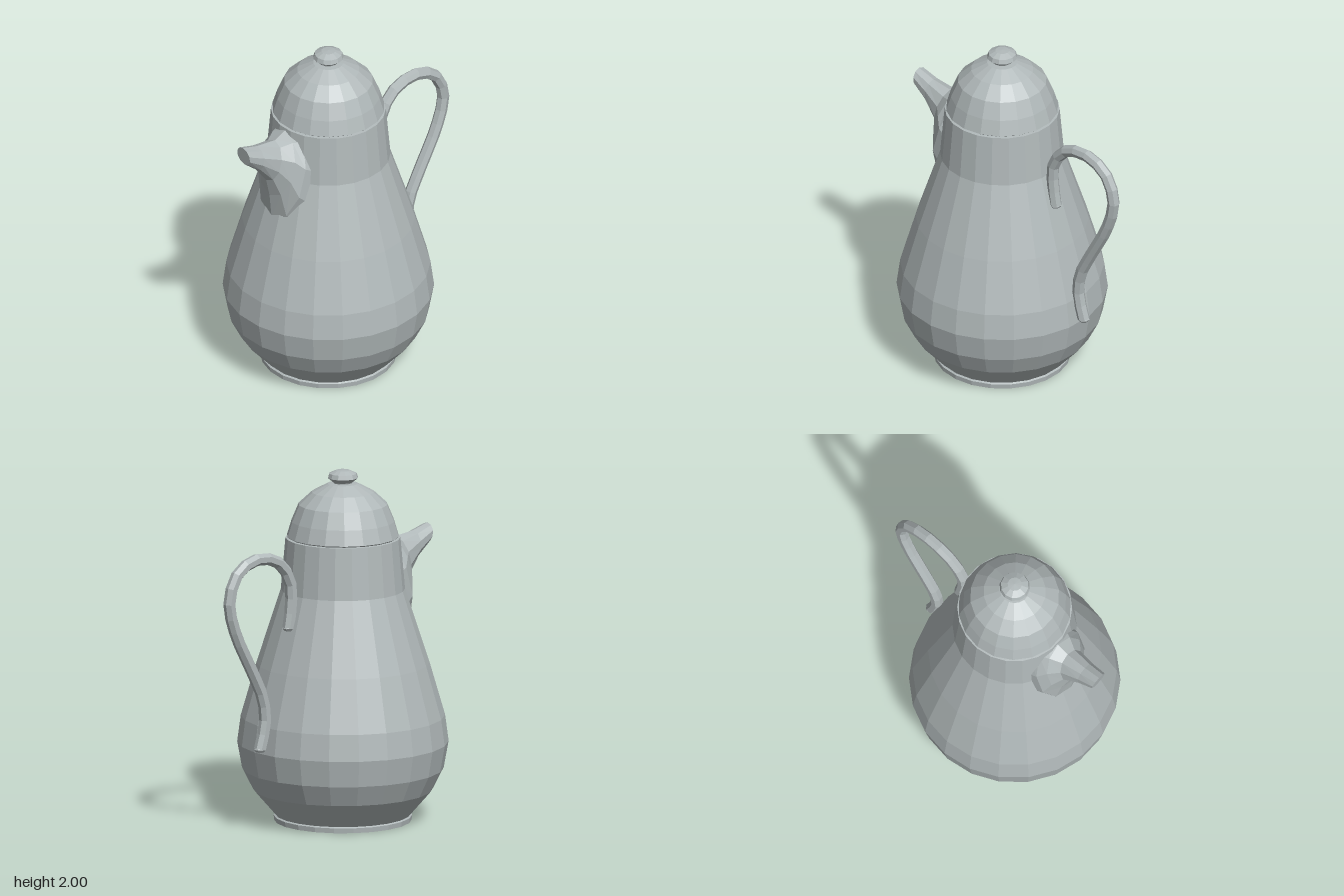
import * as THREE from 'three';

const AXIS_X = -0.125; // body axis, offset to balance spout and handle

// Skin of elliptical loops; each section is [topX, topY, bottomX, bottomY, halfWidth]
function loft(sections, sides) {
  const pos = [], idx = [];
  for (const [tx, ty, bx, by, w] of sections) {
    for (let j = 0; j < sides; j++) {
      const a = (j / sides) * Math.PI * 2, c = Math.cos(a);
      pos.push((tx + bx) / 2 + (tx - bx) / 2 * c, (ty + by) / 2 + (ty - by) / 2 * c, w * Math.sin(a));
    }
  }
  for (let i = 0; i < sections.length - 1; i++) {
    for (let j = 0; j < sides; j++) {
      const k = (j + 1) % sides, a = i * sides, b = a + sides;
      idx.push(a + j, b + j, a + k, a + k, b + j, b + k);
    }
  }
  // closed tip
  const last = (sections.length - 1) * sides;
  for (let j = 1; j < sides - 1; j++) idx.push(last, last + j + 1, last + j);
  const geo = new THREE.BufferGeometry();
  geo.setAttribute('position', new THREE.Float32BufferAttribute(pos, 3));
  geo.setIndex(idx);
  geo.computeVertexNormals();
  return geo;
}

export function createModel() {
  const group = new THREE.Group();
  const metal = new THREE.MeshStandardMaterial({ color: 0xb0b8b9, flatShading: true });
  metal.name = 'pale grey metal';

  const add = (name, geo, x = 0, y = 0, z = 0) => {
    const mesh = new THREE.Mesh(geo, metal);
    mesh.name = name;
    mesh.position.set(x, y, z);
    group.add(mesh);
    return mesh;
  };
  const turned = (name, profile, sides) =>
    add(name, new THREE.LatheGeometry(profile.map(([r, y]) => new THREE.Vector2(r, y)), sides), AXIS_X);

  // Pear-shaped vessel with foot ring
  turned('body', [
    [0, 0], [0.385, 0], [0.388, 0.028], [0.378, 0.034], [0.505, 0.18], [0.565, 0.3], [0.592, 0.45],
    [0.572, 0.6], [0.485, 0.9], [0.348, 1.32], [0.322, 1.615], [0.3, 1.618],
  ], 22);

  // Domed lid and its knob
  turned('lid', [
    [0.3, 1.612], [0.316, 1.624], [0.29, 1.71], [0.25, 1.805], [0.175, 1.875], [0.085, 1.922], [0, 1.93],
  ], 18);
  turned('knob', [
    [0.05, 1.915], [0.055, 1.93], [0.086, 1.955], [0.078, 1.98], [0.04, 1.997], [0, 2],
  ], 12);

  // Spout flaring out of the vessel wall
  add('spout', loft([
    [-0.3, 1.6, -0.45, 0.95, 0.2],
    [-0.39, 1.61, -0.545, 1.07, 0.185],
    [-0.45, 1.6, -0.56, 1.22, 0.145],
    [-0.52, 1.567, -0.585, 1.33, 0.09],
    [-0.65, 1.582, -0.66, 1.43, 0.066],
    [-0.757, 1.612, -0.745, 1.5, 0.055],
  ], 10));

  // Curved handle
  const path = new THREE.CatmullRomCurve3([
    [0.282, 1.15], [0.262, 1.28], [0.265, 1.4], [0.345, 1.525], [0.5, 1.575], [0.655, 1.515],
    [0.722, 1.36], [0.68, 1.18], [0.56, 0.95], [0.475, 0.78], [0.455, 0.64], [0.495, 0.485],
  ].map(([x, y]) => new THREE.Vector3(x, y, 0)));
  add('handle', new THREE.TubeGeometry(path, 22, 0.035, 7));

  // Rounded handle ends
  for (const [name, t] of [['handleTopEnd', 0], ['handleBottomEnd', 1]]) {
    const p = path.getPointAt(t);
    add(name, new THREE.SphereGeometry(0.034, 7, 4), p.x, p.y, 0).scale.y = 0.6;
  }

  return group;
}
